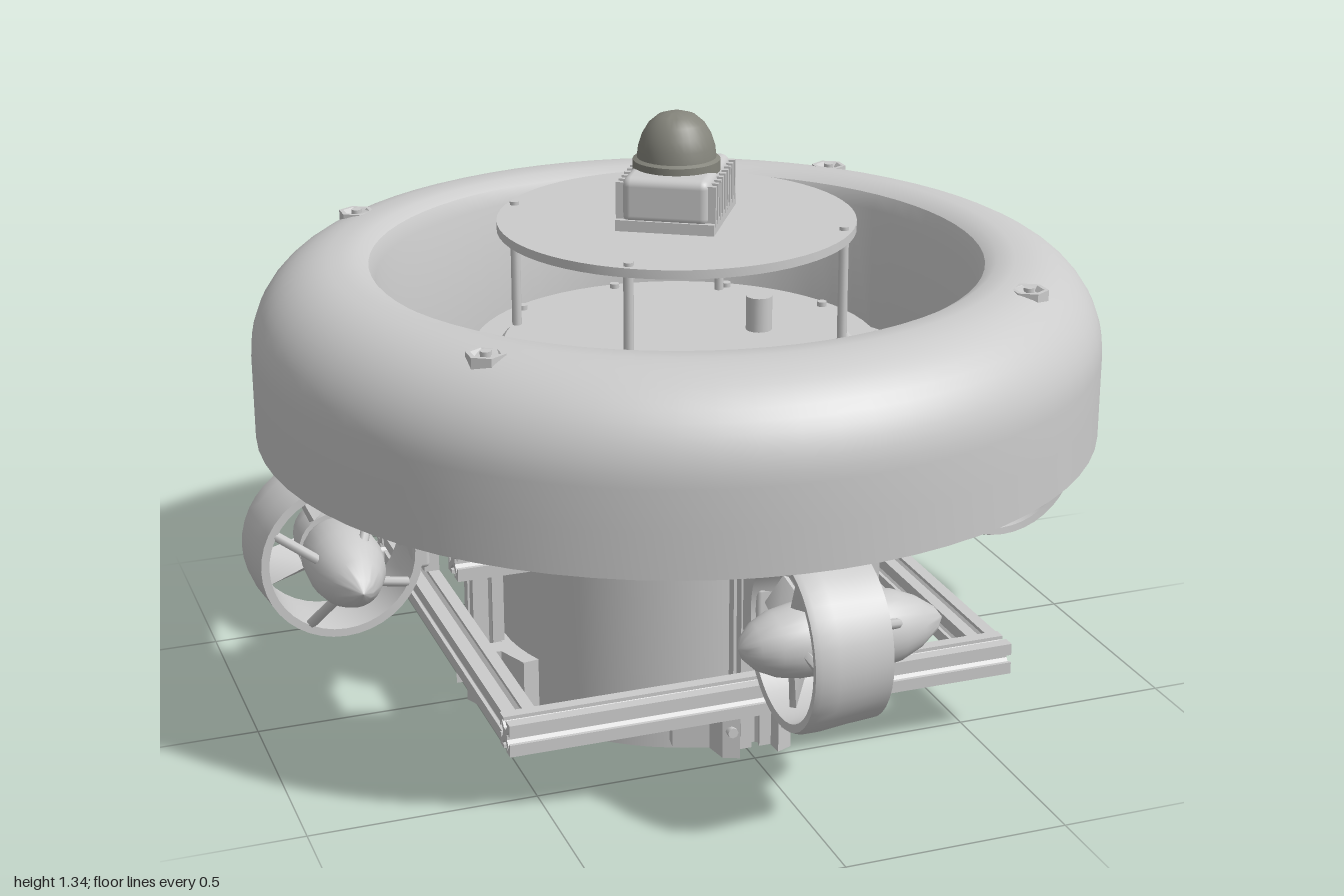
import * as THREE from 'three';
import { toCreasedNormals } from 'three/addons/utils/BufferGeometryUtils.js';
import { RoundedBoxGeometry } from 'three/addons/geometries/RoundedBoxGeometry.js';

const grey = new THREE.MeshStandardMaterial({ color: 0xcccccc });
const domeGrey = new THREE.MeshStandardMaterial({ color: 0x85857c });

function add(parent, name, geo, x = 0, y = 0, z = 0, mat = grey) {
  const m = new THREE.Mesh(geo, mat);
  m.name = name;
  m.position.set(x, y, z);
  parent.add(m);
  return m;
}
const box = (w, h, d) => new THREE.BoxGeometry(w, h, d);
const cyl = (r, h, n = 16) => new THREE.CylinderGeometry(r, r, h, n);
const lathe = (pts, n = 48) =>
  toCreasedNormals(new THREE.LatheGeometry(pts.map(p => new THREE.Vector2(...p)), n), 0.6);
const extrude = (shape, depth) =>
  new THREE.ExtrudeGeometry(shape, { depth, bevelEnabled: false, curveSegments: 32 });

// thin rod between two points
function rod(parent, name, a, b, r) {
  const A = new THREE.Vector3(...a), B = new THREE.Vector3(...b);
  const m = add(parent, name, cyl(r, A.distanceTo(B), 8));
  m.position.copy(A).add(B).multiplyScalar(0.5);
  m.quaternion.setFromUnitVectors(new THREE.Vector3(0, 1, 0), B.sub(A).normalize());
}

// slotted aluminium rail, centred and running along z
function railGeometry(length) {
  const h = 0.036, s = 0.009, t = 0.008, w = 0.02, c = 0.014, e = 0.006;
  const side = [[-h, -h], [-s, -h], [-s, t - h], [-w, t - h], [-e, -c],
    [e, -c], [w, t - h], [s, t - h], [s, -h]];
  const pts = [];
  for (let k = 0; k < 4; k++) {
    for (const [x, y] of side) {
      pts.push(new THREE.Vector2(x, y).rotateAround(new THREE.Vector2(), k * Math.PI / 2));
    }
  }
  return extrude(new THREE.Shape(pts), length).translate(0, 0, -length / 2);
}

// clamp that hugs the hull on its +z side, top face at y = 0
function clampGeometry(height) {
  const R = 0.418, a = 0.39;
  const s = new THREE.Shape();
  s.moveTo(R * Math.sin(a), R * Math.cos(a));
  s.lineTo(0.165, 0.425);
  s.lineTo(0.09, 0.455);
  s.lineTo(0.08, 0.51);
  s.lineTo(0.045, 0.525);
  s.lineTo(0.04, 0.44);
  s.lineTo(-0.04, 0.44);
  s.lineTo(-0.045, 0.525);
  s.lineTo(-0.08, 0.51);
  s.lineTo(-0.09, 0.455);
  s.lineTo(-0.165, 0.425);
  s.absarc(0, 0, R, Math.PI / 2 + a, Math.PI / 2 - a, true);
  return extrude(s, height).rotateX(Math.PI / 2);
}

// ducted thruster with its axis along x, tail towards +x
function makeThruster() {
  const g = new THREE.Group();
  g.name = 'thruster';
  g.position.set(0, 0.43, 0.81);
  const turn = geo => geo.rotateZ(-Math.PI / 2);
  add(g, 'duct', turn(lathe([[0.168, -0.07], [0.185, -0.072], [0.19, -0.06], [0.19, -0.02],
    [0.184, 0.04], [0.18, 0.1], [0.162, 0.1], [0.158, 0.02], [0.168, -0.07]], 40)));
  add(g, 'propellerHub', turn(lathe([[0, -0.165], [0.025, -0.155], [0.05, -0.13], [0.069, -0.09],
    [0.078, -0.04], [0.078, 0.015], [0, 0.015]], 28)));
  add(g, 'motor', turn(lathe([[0, 0.02], [0.07, 0.02], [0.082, 0.05], [0.084, 0.13], [0.076, 0.18],
    [0.055, 0.23], [0.027, 0.27], [0, 0.29]], 28)));
  for (let k = 0; k < 4; k++) {
    // twisted blade
    const blade = box(0.014, 0.1, 0.075, 1, 1, 1);
    const p = blade.attributes.position;
    for (let i = 0; i < p.count; i++) {
      const t = p.getY(i) > 0 ? 0.45 : 0.9, x = p.getX(i), z = p.getZ(i);
      p.setX(i, x * Math.cos(t) + z * Math.sin(t));
      p.setZ(i, z * Math.cos(t) - x * Math.sin(t));
    }
    blade.computeVertexNormals();
    blade.translate(-0.02, 0.107, 0).rotateX(k * Math.PI / 2 + 0.3);
    add(g, 'propellerBlade', blade);
    // strut from duct to motor
    const q = k * Math.PI / 2 + 0.3 + Math.PI / 4, c = Math.cos(q), s = Math.sin(q);
    rod(g, 'strut', [0.085, 0.168 * c, 0.168 * s], [0.16, 0.07 * c, 0.07 * s], 0.011);
  }
  // bracket to the frame
  add(g, 'mountPlate', box(0.13, 0.27, 0.034), 0, 0.065, -0.207);
  add(g, 'mountFoot', new RoundedBoxGeometry(0.15, 0.1, 0.04, 2, 0.01), 0.015, 0, -0.178);
  return g;
}

export function createModel() {
  const model = new THREE.Group();

  // float ring with a rounded outer shoulder
  const ring = [[0.67, 0.64], [0.95, 0.64], [0.95, 0.74]];
  for (let i = 0; i <= 12; i++) {
    const a = i / 12 * Math.PI / 2;
    ring.push([0.75 + 0.2 * Math.cos(a), 0.83 + 0.2 * Math.sin(a)]);
  }
  ring.push([0.71, 1.03], [0.685, 1.015], [0.67, 0.98], [0.67, 0.64]);
  add(model, 'floatRing', lathe(ring, 72));
  for (const sx of [-1, 1]) for (const sz of [-1, 1]) {
    const cup = lathe([[0, -0.02], [0.042, -0.02], [0.042, 0.006], [0.032, 0.006], [0.022, -0.004], [0, -0.004]], 6);
    add(model, 'ringFitting', cup, sx * 0.6, 1.022, sz * 0.54);
    add(model, 'ringBolt', cyl(0.012, 0.02, 8), sx * 0.6, 1.022, sz * 0.54);
  }

  // hull with flanged lid
  add(model, 'hull', lathe([[0, 0], [0.42, 0], [0.42, 0.77], [0.46, 0.77], [0.46, 0.805],
    [0.4, 0.805], [0.39, 0.815], [0, 0.815]], 64));
  for (let i = 0; i < 10; i++) {
    const a = (i + 0.5) / 10 * Math.PI * 2;
    add(model, 'lidBolt', cyl(0.012, 0.012, 8), 0.435 * Math.cos(a), 0.81, 0.435 * Math.sin(a));
  }
  add(model, 'cablePort', cyl(0.03, 0.09), 0.2, 0.85, 0);

  // sensor plate on four posts, with a cable hole
  const disc = new THREE.Shape().absarc(0, 0, 0.4, 0, Math.PI * 2);
  disc.holes.push(new THREE.Path().absarc(0.14, 0.2, 0.06, 0, Math.PI * 2, true));
  add(model, 'sensorPlate', toCreasedNormals(extrude(disc, 0.02).rotateX(-Math.PI / 2), 0.6), 0, 1.08, 0);
  for (let k = 0; k < 4; k++) {
    const a = 0.62 + k * Math.PI / 2, x = 0.38 * Math.cos(a), z = 0.38 * Math.sin(a);
    add(model, 'platePost', cyl(0.011, 0.28, 10), x, 0.94, z);
    add(model, 'postScrew', cyl(0.011, 0.01, 8), x, 1.103, z);
  }

  // finned scanner with a dome
  const scanner = new THREE.Group();
  scanner.name = 'scanner';
  scanner.position.y = 1.1;
  scanner.rotation.y = -0.55;
  model.add(scanner);
  add(scanner, 'scannerBase', box(0.22, 0.025, 0.27), 0, 0.0125, 0);
  add(scanner, 'scannerBody', new RoundedBoxGeometry(0.195, 0.105, 0.262, 3, 0.02), 0, 0.067, 0);
  for (const s of [-1, 1]) for (let i = 0; i < 9; i++) {
    add(scanner, 'coolingFin', box(0.022, 0.09, 0.012), s * 0.1, 0.062, (i - 4) * 0.029);
  }
  add(scanner, 'connectorBlock', box(0.09, 0.06, 0.02), 0, 0.06, -0.135);
  add(scanner, 'connector', cyl(0.018, 0.04).rotateX(Math.PI / 2), 0, 0.062, -0.155);
  add(scanner, 'dome', lathe([[0, 0.11], [0.097, 0.11], [0.097, 0.135], [0.088, 0.14], [0.085, 0.165],
    [0.077, 0.19], [0.062, 0.215], [0.042, 0.232], [0.02, 0.239], [0, 0.24]], 32), 0, 0, 0, domeGrey);

  // upper and lower square rail frames
  for (const [y, half] of [[0.595, 0.68], [0.18, 0.58]]) for (const s of [-1, 1]) {
    add(model, 'crossRail', railGeometry(2 * half), 0, y, s * 0.54).rotation.y = Math.PI / 2;
    add(model, 'sideRail', railGeometry(1.008), s * 0.54, y, 0);
  }

  // upright, hull clamps and thruster, repeated on each side
  for (let k = 0; k < 4; k++) {
    const side = new THREE.Group();
    side.name = 'sideAssembly';
    side.rotation.y = k * Math.PI / 2;
    add(side, 'uprightRail', railGeometry(0.71).rotateX(Math.PI / 2), 0, 0.385, 0.467);
    for (const top of [0.15, 0.76]) {
      add(side, 'hullClamp', clampGeometry(0.13), 0, top, 0);
      for (const s of [-1, 1]) {
        add(side, 'clampBolt', cyl(0.012, 0.016, 8).rotateX(Math.PI / 2), s * 0.062, top - 0.065, 0.52);
      }
    }
    side.add(makeThruster());
    model.add(side);
  }
  return model;
}
